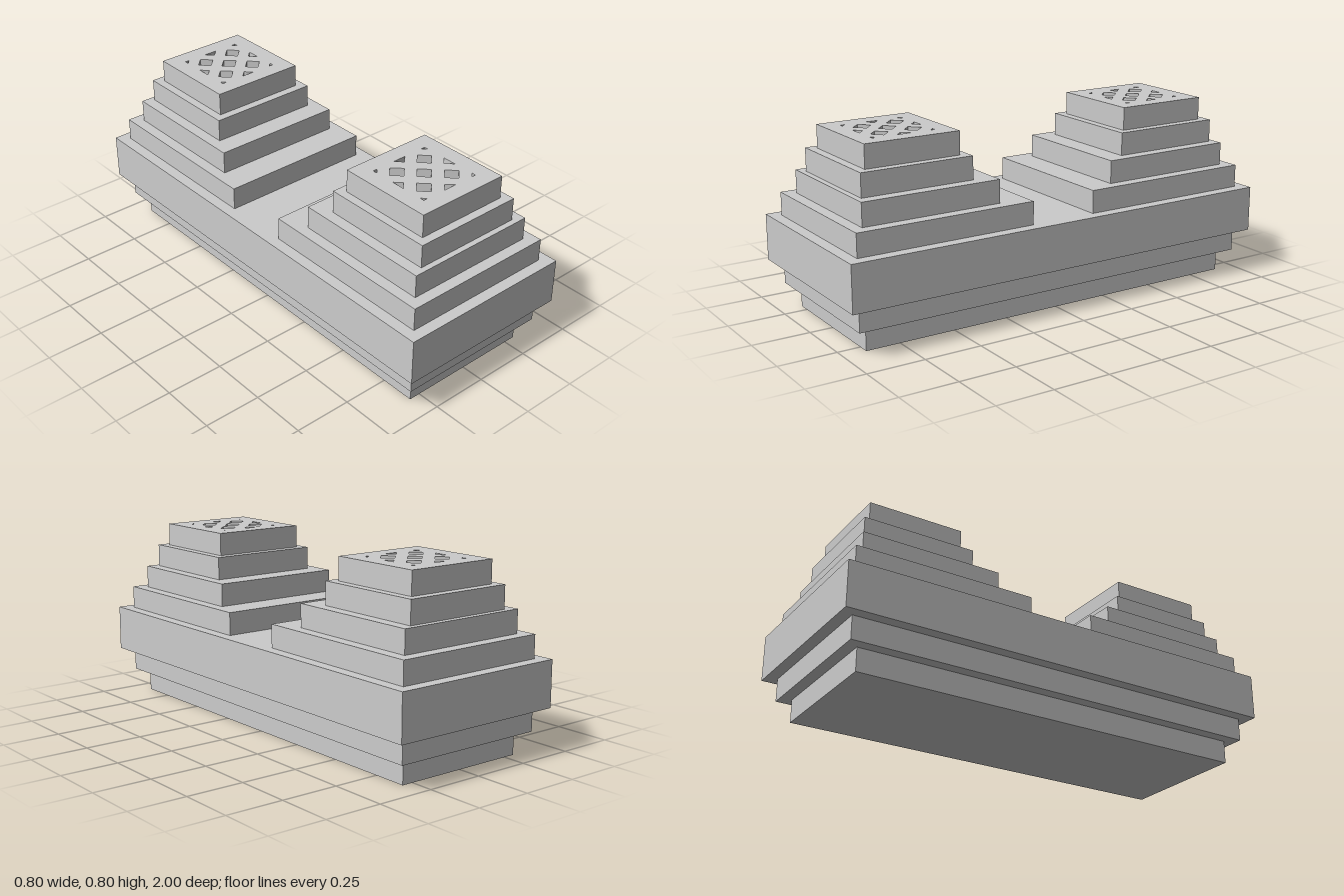
import * as THREE from 'three';

const material = new THREE.MeshStandardMaterial({ color: 0xcccccc, flatShading: true });

// Box given by its half width, z range and y range
function slab(name, halfX, z0, z1, y0, y1) {
  const mesh = new THREE.Mesh(new THREE.BoxGeometry(halfX * 2, y1 - y0, z1 - z0), material);
  mesh.name = name;
  mesh.position.set(0, (y0 + y1) / 2, (z0 + z1) / 2);
  return mesh;
}

function polygon(points, Type = THREE.Path) {
  return new Type(points.map(([x, y]) => new THREE.Vector2(x, y)));
}

// Square cap pierced by a diagonal lattice of diamonds, clipped to a square field
function latticeCap(half, height) {
  const r = 0.04, pitch = 0.075, edge = 0.14;
  const shape = polygon([[-half, -half], [half, -half], [half, half], [-half, half]], THREE.Shape);
  const diamond = (x, y) => [[x + r, y], [x, y + r], [x - r, y], [x, y - r]];
  shape.holes.push(polygon(diamond(0, 0)));

  const tip = 2 * pitch - r;
  const w = edge - tip;
  const c = 4 * pitch - r - edge;
  const cell = diamond(pitch, pitch);
  const edgeHole = [[tip, 0], [edge, -w], [edge, w]];
  const cornerHole = [[edge, c], [edge, edge], [c, edge]];
  for (let i = 0; i < 4; i++) {
    const cos = Math.round(Math.cos(i * Math.PI / 2));
    const sin = Math.round(Math.sin(i * Math.PI / 2));
    for (const hole of [cell, edgeHole, cornerHole]) {
      shape.holes.push(polygon(hole.map(([x, y]) => [x * cos - y * sin, x * sin + y * cos])));
    }
  }
  const geometry = new THREE.ExtrudeGeometry(shape, { depth: height, bevelEnabled: false });
  geometry.rotateX(-Math.PI / 2);
  const mesh = new THREE.Mesh(geometry, material);
  mesh.name = 'latticeCap';
  return mesh;
}

export function createModel() {
  const model = new THREE.Group();
  model.name = 'twinSteppedTowers';

  // Stepped base, widening upward
  model.add(
    slab('lowerFooting', 0.3, -0.9, 0.9, 0, 0.1),
    slab('upperFooting', 0.35, -0.95, 0.95, 0.1, 0.2),
    slab('platform', 0.4, -1, 1, 0.2, 0.4),
  );

  // Two mirrored towers: half width, inner z, outer z of each tier
  const tiers = [[0.35, 0.15, 0.95], [0.3, 0.28, 0.9], [0.25, 0.375, 0.875]];
  for (const side of [1, -1]) {
    const tower = new THREE.Group();
    tower.name = side > 0 ? 'frontTower' : 'backTower';
    tiers.forEach(([halfX, inner, outer], i) => {
      const z0 = side > 0 ? inner : -outer;
      const z1 = side > 0 ? outer : -inner;
      tower.add(slab(`tier${i + 1}`, halfX, z0, z1, 0.4 + i * 0.1, 0.5 + i * 0.1));
    });
    const cap = latticeCap(0.2125, 0.1);
    cap.position.set(0, 0.7, side * 0.625);
    tower.add(cap);
    model.add(tower);
  }
  return model;
}
